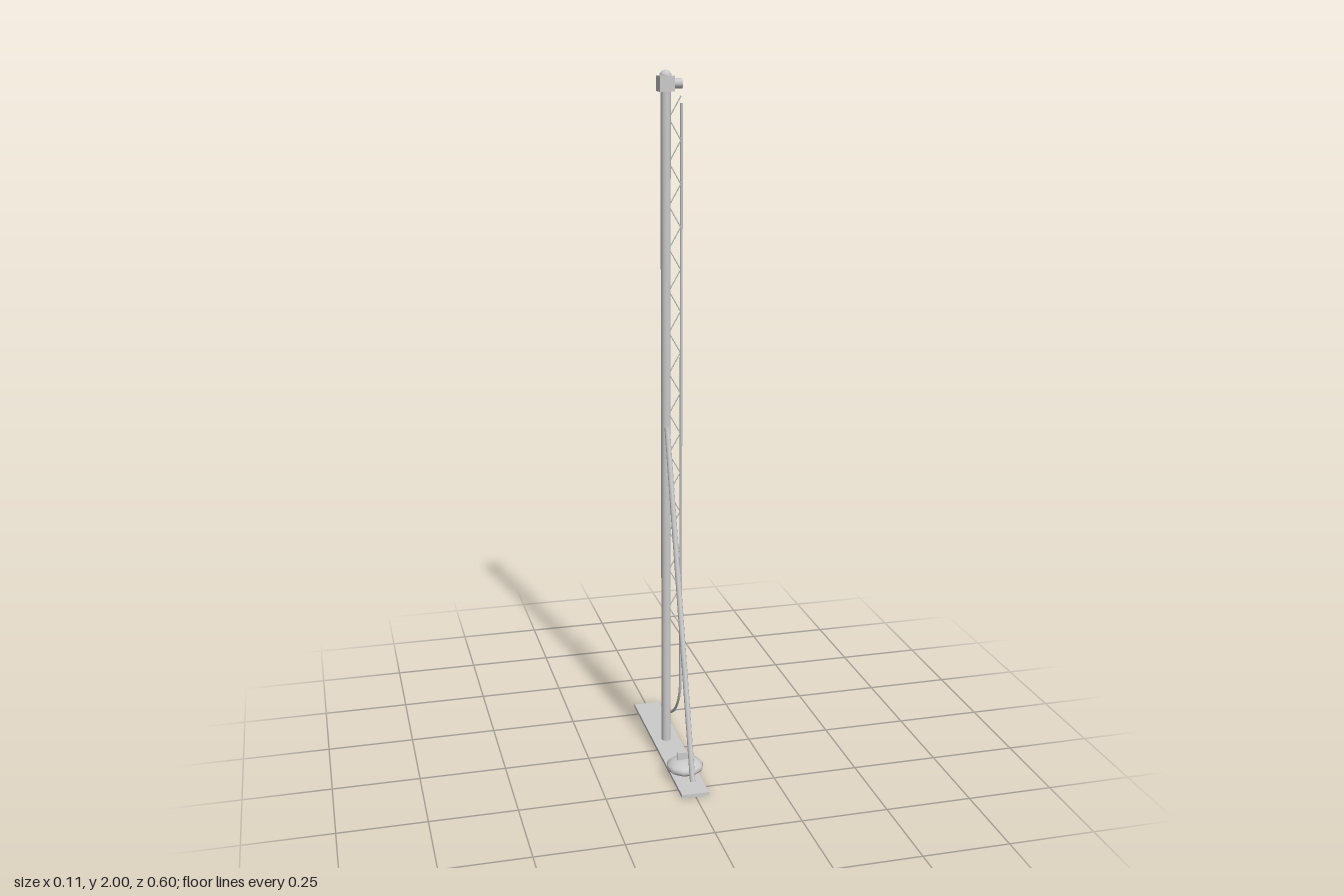
import * as THREE from 'three';

const grey = new THREE.MeshStandardMaterial({ color: 0xcccccc });
const V = (x, y, z) => new THREE.Vector3(x, y, z);

function add(group, name, geometry, x = 0, y = 0, z = 0) {
  const mesh = new THREE.Mesh(geometry, grey);
  mesh.name = name;
  mesh.position.set(x, y, z);
  group.add(mesh);
  return mesh;
}

// Straight round bar between two points
function bar(group, name, a, b, radius, sides) {
  const mesh = add(group, name, new THREE.CylinderGeometry(radius, radius, a.distanceTo(b), sides));
  mesh.position.copy(a).add(b).multiplyScalar(0.5);
  mesh.quaternion.setFromUnitVectors(V(0, 1, 0), b.clone().sub(a).normalize());
  return mesh;
}

export function createModel() {
  const model = new THREE.Group();
  model.name = 'mast';
  const poleZ = -0.046;
  const railX = 0.046;

  // Base, pole and diagonal brace
  add(model, 'basePlate', new THREE.BoxGeometry(0.08, 0.01, 0.6), 0, 0.005, 0);
  bar(model, 'pole', V(0, 0.01, poleZ), V(0, 1.95, poleZ), 0.014, 10);
  bar(model, 'brace', V(0, 0.03, 0.265), V(0, 1.0, -0.03), 0.008, 8);

  // Head box with dome cap and side stub
  const head = new THREE.Group();
  head.name = 'head';
  head.position.set(0, 1.963, poleZ - 0.001);
  model.add(head);
  add(head, 'headBox', new THREE.BoxGeometry(0.042, 0.042, 0.042));
  add(head, 'headDome', new THREE.SphereGeometry(0.018, 8, 6), 0, 0.019, 0);
  bar(head, 'headStub', V(0.02, 0, 0), V(0.046, 0, 0), 0.014, 10);

  // Cable: vertical run, then a sweep back to the ground
  const cableZ = -0.05;
  const path = new THREE.CurvePath();
  path.add(new THREE.LineCurve3(V(railX, 1.91, cableZ), V(railX, 0.2, cableZ)));
  bar(model, 'cable', V(railX, 0.2, cableZ), V(railX, 1.91, cableZ), 0.004, 6);
  const sweep = new THREE.CubicBezierCurve3(
    V(railX, 0.2, cableZ), V(railX, 0.095, cableZ - 0.005),
    V(railX, 0.012, -0.165), V(railX, 0.008, -0.277));
  add(model, 'cableSweep', new THREE.TubeGeometry(sweep, 20, 0.0042, 6));

  // Zigzag lacing between pole and cable
  const lacing = new THREE.Group();
  lacing.name = 'lacing';
  model.add(lacing);
  const legs = 26, y0 = 0.38, step = 1.55 / legs;
  const node = (i) => V(i % 2 ? 0.01 : 0.044, y0 + i * step, cableZ);
  for (let i = 0; i < legs; i++) bar(lacing, 'lacingBar', node(i), node(i + 1), 0.0018, 5);

  // Squashed weight with a small handle
  const weight = new THREE.Group();
  weight.name = 'weight';
  weight.position.set(0, 0.036, 0.178);
  model.add(weight);
  add(weight, 'weightBody', new THREE.SphereGeometry(0.055, 10, 8)).scale.y = 0.4;
  add(weight, 'weightHandle', new THREE.BoxGeometry(0.045, 0.03, 0.008), 0, 0.028, 0);

  return model;
}
